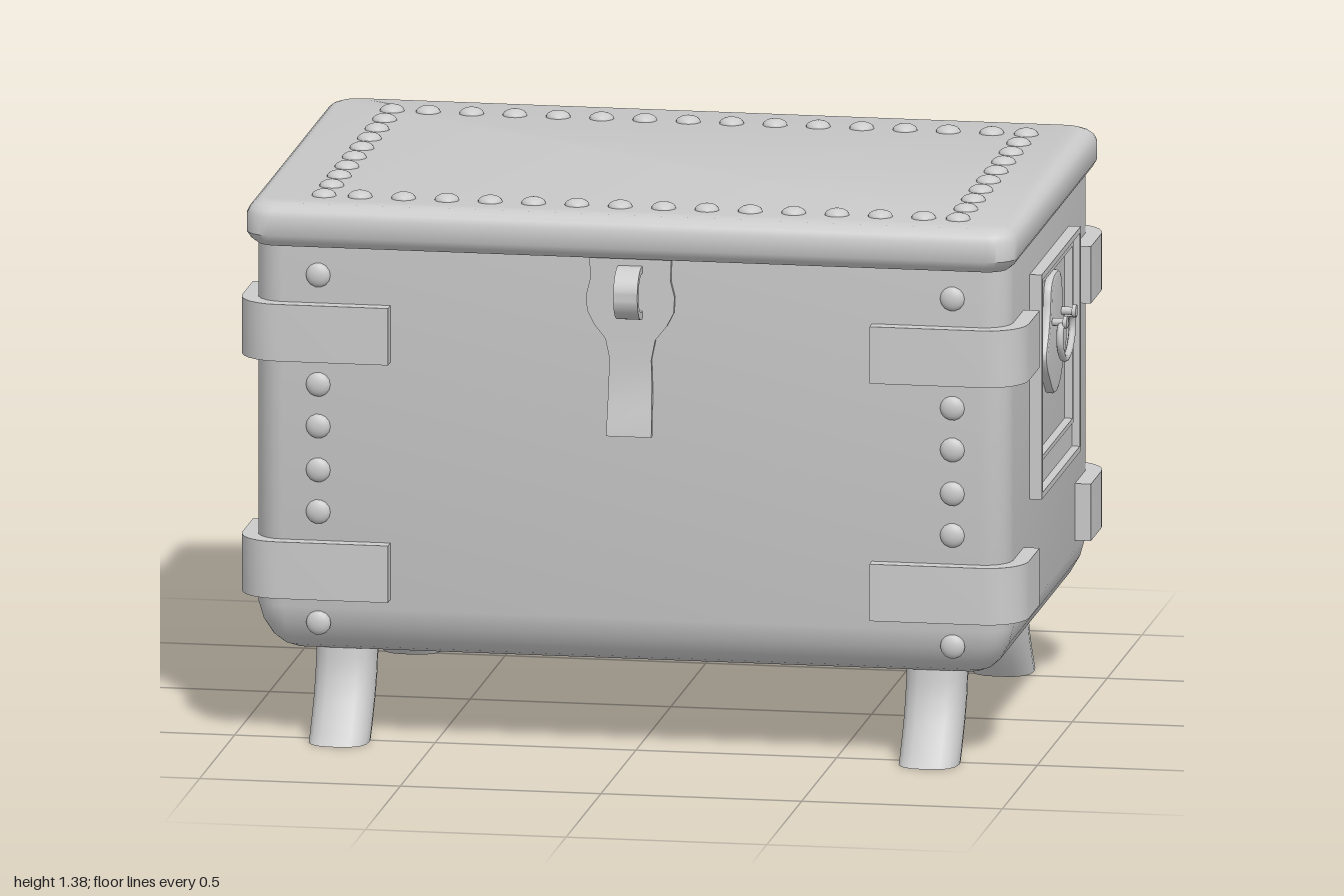
import * as THREE from 'three';
import { toCreasedNormals } from 'three/addons/utils/BufferGeometryUtils.js';

const grey = new THREE.MeshStandardMaterial({ color: 0xcccccc });

// Capped solid through horizontal rings of equal length, listed from bottom to top
function loft(rings, crease = 0.6) {
  const n = rings[0].length, pos = [], idx = [];
  rings.forEach(r => r.forEach(p => pos.push(...p)));
  for (let i = 0; i < rings.length - 1; i++) {
    for (let j = 0; j < n; j++) {
      const a = i * n + j, b = i * n + (j + 1) % n;
      idx.push(a, a + n, b, b, a + n, b + n);
    }
  }
  const top = (rings.length - 1) * n;
  for (let j = 1; j < n - 1; j++) idx.push(0, j, j + 1, top, top + j + 1, top + j);
  const g = new THREE.BufferGeometry();
  g.setAttribute('position', new THREE.Float32BufferAttribute(pos, 3));
  g.setIndex(idx);
  return toCreasedNormals(g, crease);
}

// Rounded rectangle ring in plan at height y
function roundRing(y, hx, hz, r, seg = 5) {
  const pts = [];
  for (let k = 0; k < 4; k++) {
    const sx = k === 0 || k === 3 ? 1 : -1, sz = k < 2 ? 1 : -1;
    for (let i = 0; i <= seg; i++) {
      const a = (k + i / seg) * Math.PI / 2;
      pts.push([sx * (hx - r) + r * Math.cos(a), y, sz * (hz - r) + r * Math.sin(a)]);
    }
  }
  return pts;
}

const insetLoft = (hx, hz, r, levels) =>
  loft(levels.map(([y, d]) => roundRing(y, hx - d, hz - d, Math.max(r - d * 0.5, 0.02))));

function add(parent, name, geo, x = 0, y = 0, z = 0) {
  const m = new THREE.Mesh(geo, grey);
  m.name = name;
  m.position.set(x, y, z);
  parent.add(m);
  return m;
}

function rect(hw, y0, y1, P = THREE.Shape) {
  return new P([[-hw, y0], [hw, y0], [hw, y1], [-hw, y1]].map(p => new THREE.Vector2(...p)));
}

function frame(hw, y0, y1, ihw, iy0, iy1, depth) {
  const s = rect(hw, y0, y1);
  s.holes.push(rect(ihw, iy0, iy1, THREE.Path));
  return new THREE.ExtrudeGeometry(s, { depth, bevelEnabled: false });
}

// Strap bent round one corner, drawn in plan and extruded in height
function strapGeometry(sx, sz) {
  const outer = [], inner = [], ox = 0.98, oz = 0.62, t = 0.045, r = 0.1;
  outer.push([0.6, oz]);
  inner.push([0.6, oz - t]);
  for (let i = 0; i <= 6; i++) {
    const a = Math.PI / 2 * (1 - i / 6), c = Math.cos(a), s = Math.sin(a);
    outer.push([ox - r + r * c, oz - r + r * s]);
    inner.push([ox - r + (r - t) * c, oz - r + (r - t) * s]);
  }
  outer.push([ox, 0.367]);
  inner.push([ox - t, 0.367]);
  const shape = new THREE.Shape([...outer, ...inner.reverse()].map(([x, z]) => new THREE.Vector2(sx * x, sz * z)));
  const g = new THREE.ExtrudeGeometry(shape, { depth: 0.143, bevelEnabled: false });
  return toCreasedNormals(g.rotateX(Math.PI / 2), 0.6);
}

// Framed recess with a shaped plate and a hanging bail, facing +z
function sidePanel() {
  const g = new THREE.Group();
  g.name = 'sidePanel';
  add(g, 'outerFrame', frame(0.28, 0.615, 1.18, 0.265, 0.63, 1.165, 0.05), 0, 0, 0.92);
  add(g, 'frameLedge', frame(0.268, 0.627, 1.168, 0.23, 0.7, 1.155, 0.03), 0, 0, 0.92);
  add(g, 'innerRim', frame(0.231, 0.698, 1.157, 0.219, 0.71, 1.143, 0.04), 0, 0, 0.92);

  const half = [[0.045, 1.122], [0.075, 1.1], [0.09, 1.04], [0.115, 0.99], [0.147, 0.945],
    [0.132, 0.91], [0.09, 0.87], [0.045, 0.833]];
  const outline = [[0, 1.128], ...half, [0, 0.823], ...half.map(([x, y]) => [-x, y]).reverse()];
  const s = new THREE.Shape();
  const curve = new THREE.CatmullRomCurve3(outline.map(([x, y]) => new THREE.Vector3(x, y, 0)), true);
  s.setFromPoints(curve.getPoints(48).slice(0, -1).map(p => new THREE.Vector2(p.x, p.y)));
  const plate = new THREE.ExtrudeGeometry(s, {
    depth: 0.012, bevelThickness: 0.008, bevelSize: 0.012, bevelOffset: -0.012, bevelSegments: 2
  });
  add(g, 'handlePlate', toCreasedNormals(plate, 0.7), 0, 0, 0.94);

  for (const x of [-0.065, 0.065]) {
    const post = new THREE.CylinderGeometry(0.01, 0.01, 0.045, 10).rotateX(Math.PI / 2);
    add(g, 'handlePost', post, x, 1.015, 0.972);
    add(g, 'postCap', new THREE.CylinderGeometry(0.016, 0.016, 0.01, 10).rotateX(Math.PI / 2), x, 1.015, 0.992);
  }
  const path = [[-0.055, 1.012], [-0.083, 1.0], [-0.088, 0.965], [-0.055, 0.927], [0, 0.912],
    [0.055, 0.927], [0.088, 0.965], [0.083, 1.0], [0.055, 1.012]];
  const bail = new THREE.CatmullRomCurve3(path.map(([x, y]) => new THREE.Vector3(x, y, 0.982)));
  add(g, 'bailHandle', new THREE.TubeGeometry(bail, 40, 0.009, 8));
  return g;
}

export function createModel() {
  const chest = new THREE.Group();
  chest.name = 'chest';
  const g = new THREE.Group();
  g.name = 'chestParts';
  g.position.z = -0.017;
  chest.add(g);

  // Body with rounded lower edges, and overhanging lid
  add(g, 'body', insetLoft(0.94, 0.585, 0.07,
    [[0.226, 0.085], [0.237, 0.06], [0.26, 0.035], [0.3, 0.012], [0.345, 0], [1.27, 0]]));
  add(g, 'lid', insetLoft(0.96, 0.633, 0.065,
    [[1.255, 0.025], [1.268, 0.01], [1.285, 0], [1.33, 0], [1.345, 0.007], [1.355, 0.018], [1.362, 0.035]]));

  // Straps round the four corners, in two rows
  for (const sx of [-1, 1]) {
    for (const sz of [-1, 1]) {
      const strap = strapGeometry(sx, sz);
      for (const y of [1.11, 0.513]) add(g, 'cornerStrap', strap, 0, y, 0);
    }
  }

  // Domed rivets along the lid edge and beside the body corners
  const dome = new THREE.SphereGeometry(0.031, 14, 5, 0, Math.PI * 2, 0, Math.PI / 2).scale(1, 0.55, 1);
  for (let i = 0; i < 16; i++) {
    const x = i === 15 ? 0.8 : i === 0 ? -0.78 : -0.69 + (i - 1) * 0.108;
    for (const z of [-0.475, 0.499]) add(g, 'lidRivet', dome, x, 1.361, z);
  }
  for (let i = 0; i < 8; i++) {
    for (const x of [-0.78, 0.8]) add(g, 'lidRivet', dome, x, 1.361, -0.367 + i * 0.108);
  }
  for (const y of [1.18, 0.905, 0.8, 0.69, 0.585, 0.305]) {
    for (const x of [-0.78, 0.8]) {
      for (const s of [-1, 1]) {
        add(g, 'bodyRivet', dome, x, y, s * (y < 0.34 ? 0.58 : 0.584)).rotation.x = s * Math.PI / 2;
      }
    }
  }

  // Outward-curving legs
  const legPath = [[0, 0.534], [0.025, 0.513], [0.06, 0.488], [0.1, 0.461], [0.15, 0.437], [0.2, 0.424], [0.27, 0.418]];
  const leg = loft(legPath.map(([y, z]) => {
    const ring = [];
    for (let i = 0; i < 16; i++) {
      const a = i / 16 * Math.PI * 2, c = Math.cos(a), s = Math.sin(a);
      ring.push([0.075 * Math.sign(c) * Math.abs(c) ** 0.75, y, z + 0.078 * Math.sign(s) * Math.abs(s) ** 0.75]);
    }
    return ring;
  }), 0.8);
  for (const x of [-0.735, 0.735]) {
    add(g, 'frontLeg', leg, x);
    add(g, 'backLeg', leg, x).rotation.y = Math.PI;
  }

  // Hasp: [height, half width, distance forward]
  const hasp = [[0.81, 0.056, 0.612], [0.835, 0.056, 0.609], [0.88, 0.055, 0.6], [0.94, 0.054, 0.591], [1.0, 0.052, 0.589],
    [1.05, 0.062, 0.589], [1.085, 0.09, 0.589], [1.12, 0.108, 0.589], [1.16, 0.11, 0.589], [1.2, 0.1, 0.589], [1.26, 0.102, 0.589]];
  const t = 0.008;
  add(g, 'hasp', loft(hasp.map(([y, w, z]) => [[w, y, z - t], [w, y, z + t], [-w, y, z + t], [-w, y, z - t]])));
  const loop = new THREE.Shape().absarc(0, 0, 0.066, 0, Math.PI * 2);
  loop.holes.push(new THREE.Path().absarc(0, 0, 0.048, 0, Math.PI * 2));
  const staple = new THREE.ExtrudeGeometry(loop, { depth: 0.06, bevelEnabled: false, curveSegments: 24 });
  add(g, 'staple', toCreasedNormals(staple.rotateY(-Math.PI / 2), 0.6), 0.03, 1.17, 0.605);

  // Handle panels on both ends
  for (const s of [-1, 1]) {
    const panel = sidePanel();
    panel.rotation.y = s * Math.PI / 2;
    g.add(panel);
  }
  return chest;
}
